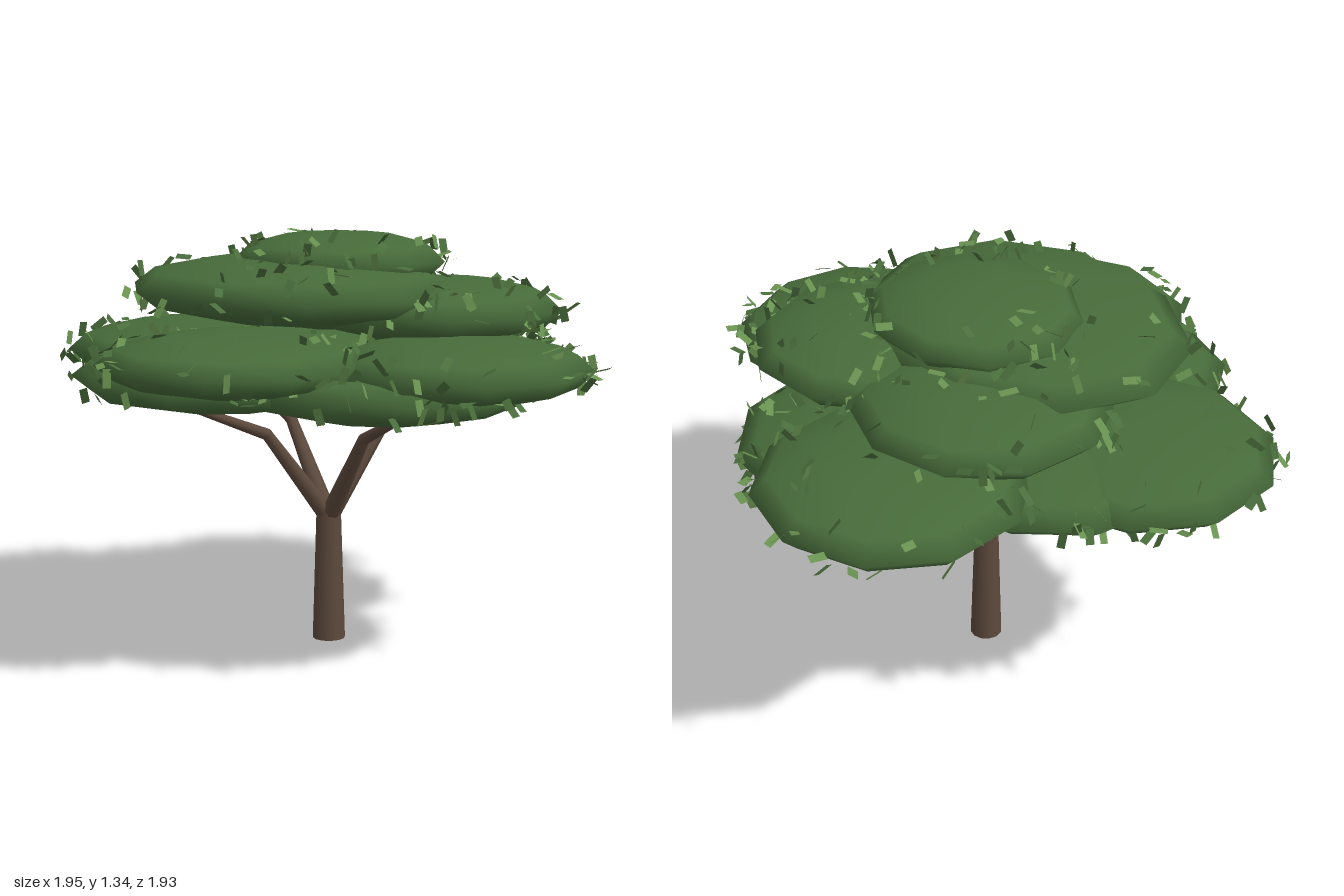
import * as THREE from 'three';
import { mergeGeometries } from 'three/addons/utils/BufferGeometryUtils.js';

const bark = new THREE.MeshStandardMaterial({ color: 0x5c493c });
const foliage = new THREE.MeshStandardMaterial({ color: 0x476b3a });
const leafMaterials = [0x67904f, 0x4a6e3c].map(
  (color) => new THREE.MeshStandardMaterial({ color, side: THREE.DoubleSide }));

// Small seeded generator for the leaf scatter
let seed = 7;
function rand() {
  seed = (seed * 16807) % 2147483647;
  return seed / 2147483647;
}

function add(parent, name, geometry, material) {
  const mesh = new THREE.Mesh(geometry, material);
  mesh.name = name;
  parent.add(mesh);
  return mesh;
}

// Tapered limb between two points
function limb(a, b, ra, rb, sides) {
  const dir = b.clone().sub(a);
  const g = new THREE.CylinderGeometry(rb, ra, dir.length(), sides);
  g.applyQuaternion(new THREE.Quaternion().setFromUnitVectors(
    new THREE.Vector3(0, 1, 0), dir.normalize()));
  const mid = a.clone().add(b).multiplyScalar(0.5);
  return g.translate(mid.x, mid.y, mid.z);
}

// Branches: angle round the trunk, reach, tip height
const branches = [
  [0.14, 0.57, 0.845],
  [Math.PI / 2 + 0.17, 0.55, 0.825],
  [Math.PI + 0.07, 0.55, 0.82],
  [Math.PI * 1.5 + 0.07, 0.55, 0.835],
];

// Flattened foliage pads: x, y, z, radius x, radius y, radius z, turn
const pads = [
  // low inner pads
  [0.35, 0.885, 0.12, 0.48, 0.105, 0.46, 0.1],
  [-0.06, 0.895, 0.41, 0.47, 0.1, 0.48, 0.3],
  [-0.34, 0.91, 0.0, 0.46, 0.1, 0.44, 0.2],
  [0.08, 0.885, -0.30, 0.46, 0.105, 0.46, 0.5],
  // low outer pads
  [0.55, 0.945, 0.0, 0.41, 0.1, 0.41, 0.12],
  [0.15, 0.965, 0.52, 0.42, 0.095, 0.42, -0.2],
  [-0.53, 0.915, 0.2, 0.43, 0.1, 0.42, -0.24],
  [-0.24, 0.975, -0.53, 0.42, 0.105, 0.41, -0.26],
  // middle tier
  [-0.03, 1.15, 0.18, 0.57, 0.105, 0.48, 0.0],
  [-0.22, 1.085, -0.16, 0.4, 0.1, 0.4, 0.25],
  [0.27, 1.09, -0.16, 0.39, 0.1, 0.4, 0.05],
  // crown
  [0.01, 1.235, 0.02, 0.35, 0.09, 0.33, 0.0],
];

export function createModel() {
  const tree = new THREE.Group();
  tree.name = 'tree';

  // Trunk
  const fork = new THREE.Vector3(-0.02, 0.42, 0.04);
  const base = new THREE.Vector3(-0.02, 0, 0.04);
  add(tree, 'trunk', limb(base, fork, 0.053, 0.04, 12), bark);

  // Four bent branches spread round the trunk
  const start = fork.clone().setY(0.4);
  branches.forEach(([angle, reach, tipY], i) => {
    const at = (r, y) => new THREE.Vector3(
      fork.x + Math.cos(angle) * r, y, fork.z + Math.sin(angle) * r);
    const elbow = at(0.22, 0.69);
    const joint = new THREE.SphereGeometry(0.019, 8, 6)
      .translate(elbow.x, elbow.y, elbow.z);
    add(tree, 'branch' + (i + 1), mergeGeometries([
      limb(start, elbow, 0.031, 0.019, 8),
      joint,
      limb(elbow, at(reach, tipY), 0.019, 0.01, 8),
    ]), bark);
  });

  // Foliage pads with loose leaves standing off the upper side and rim
  const canopy = new THREE.Group();
  canopy.name = 'canopy';
  tree.add(canopy);
  const leaves = [[], []];
  pads.forEach(([x, y, z, rx, ry, rz, turn], n) => {
    const g = new THREE.SphereGeometry(1, 10, 6);
    g.rotateY(turn).scale(rx, ry, rz);
    add(canopy, 'foliagePad' + (n + 1), g, foliage).position.set(x, y, z);

    for (let i = 0; i < 60; i++) {
      const a = rand() * Math.PI * 2;
      const h = rand() * 1.35 - 0.5;
      const r = Math.sqrt(1 - h * h);
      const off = rand() * 0.035 - 0.005;
      const leaf = new THREE.PlaneGeometry(0.024, 0.045 + rand() * 0.015);
      leaf.rotateX(rand() * Math.PI).rotateY(rand() * Math.PI * 2)
        .rotateZ((rand() - 0.5) * 2);
      leaf.translate(x + Math.cos(a) * r * (rx + off), y + h * (ry + off * 0.3),
        z + Math.sin(a) * r * (rz + off));
      leaves[i % 2].push(leaf);
    }
  });
  leaves.forEach((list, i) => add(
    canopy, i ? 'darkLeaves' : 'lightLeaves', mergeGeometries(list), leafMaterials[i]));

  return tree;
}
